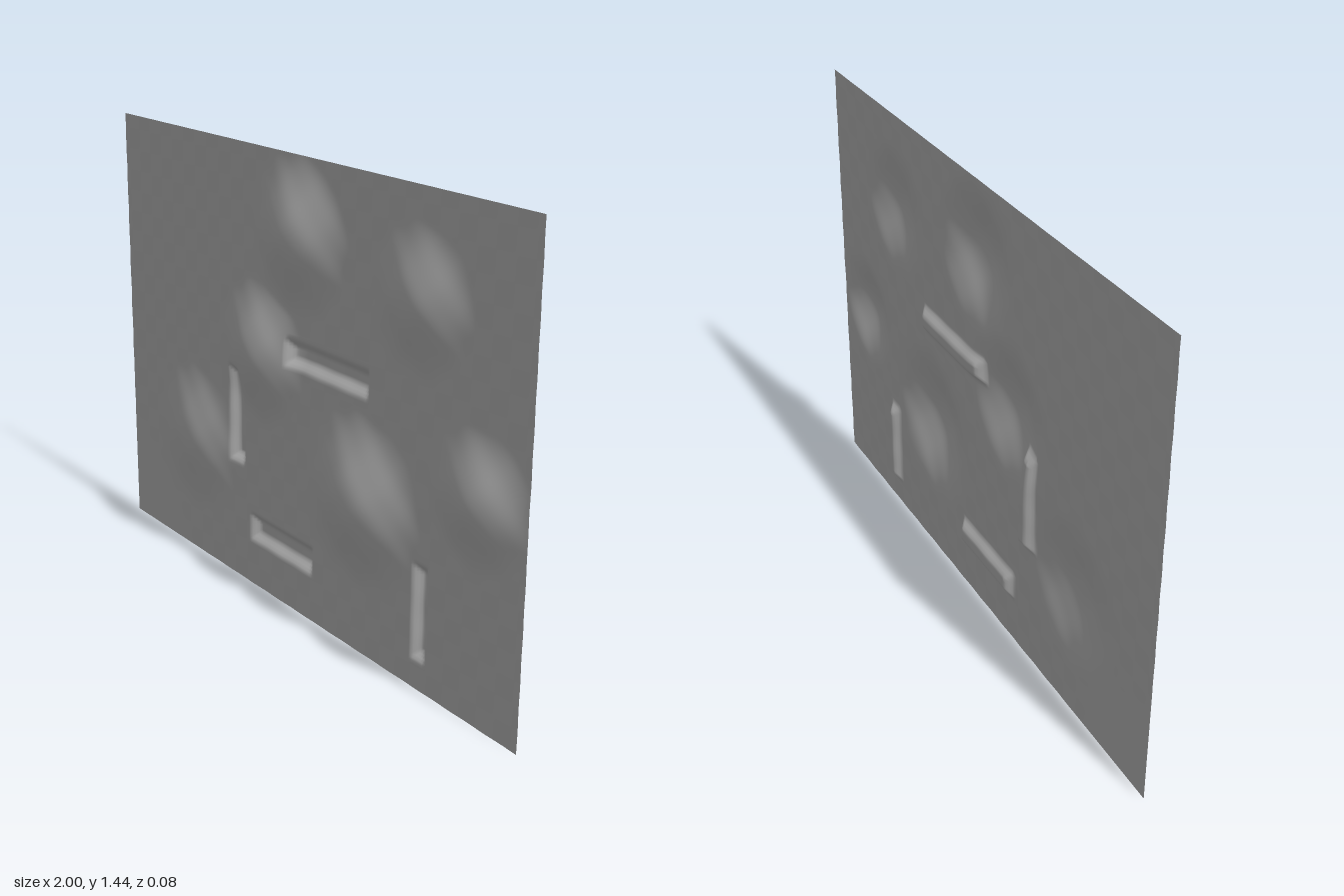
import * as THREE from 'three';

const WIDTH = 2, HEIGHT = 1.44, BASE_Z = -0.016;

// Rounded swellings: centre x, centre y, radius, height
const bumps = [
  [0.0, 1.2, 0.25, 0.049],
  [0.56, 1.13, 0.22, 0.037],
  [-0.2, 0.8, 0.24, 0.045],
  [0.31, 0.48, 0.28, 0.054],
  [0.81, 0.65, 0.21, 0.041],
  [-0.58, 0.41, 0.26, 0.034],
];

// Sunken slots: left, right, bottom, top
const slots = [
  [-0.05, 0.35, 0.80, 0.89],
  [-0.37, -0.285, 0.40, 0.73],
  [-0.255, 0.085, 0.155, 0.25],
  [0.56, 0.625, 0.09, 0.39],
];
const SLOT_DEPTH = 0.022, SLOT_WALL = 0.027;

function relief(x, y) {
  let z = BASE_Z;
  for (const [cx, cy, radius, height] of bumps) {
    const d = Math.hypot(x - cx, y - cy) / radius;
    if (d < 1) z += height * 0.5 * (1 + Math.cos(Math.PI * d));
  }
  // Slots with sloping walls and a flat floor
  for (const [l, r, b, t] of slots) {
    const inside = Math.min(x - l, r - x, y - b, t - y);
    z -= SLOT_DEPTH * THREE.MathUtils.clamp(inside / SLOT_WALL, 0, 1);
  }
  // Faint woven ripple, fading out at the lower left corner
  const fade = THREE.MathUtils.smoothstep(Math.hypot(x + 1, y), 0.3, 0.5);
  return z + 0.0006 * fade * Math.sin(x * 45) * Math.cos(y * 45);
}

export function createModel() {
  const group = new THREE.Group();
  group.name = 'reliefPanel';

  const stone = new THREE.MeshStandardMaterial({ color: 0xb4b4b4, side: THREE.DoubleSide });
  stone.name = 'plain grey';

  // Thin sheet pushed in and out by the relief rule
  const geometry = new THREE.PlaneGeometry(WIDTH, HEIGHT, 240, 172);
  geometry.translate(0, HEIGHT / 2, 0);
  const p = geometry.attributes.position;
  for (let i = 0; i < p.count; i++) p.setZ(i, relief(p.getX(i), p.getY(i)));
  geometry.computeVertexNormals();

  const sheet = new THREE.Mesh(geometry, stone);
  sheet.name = 'reliefSheet';
  group.add(sheet);
  return group;
}
